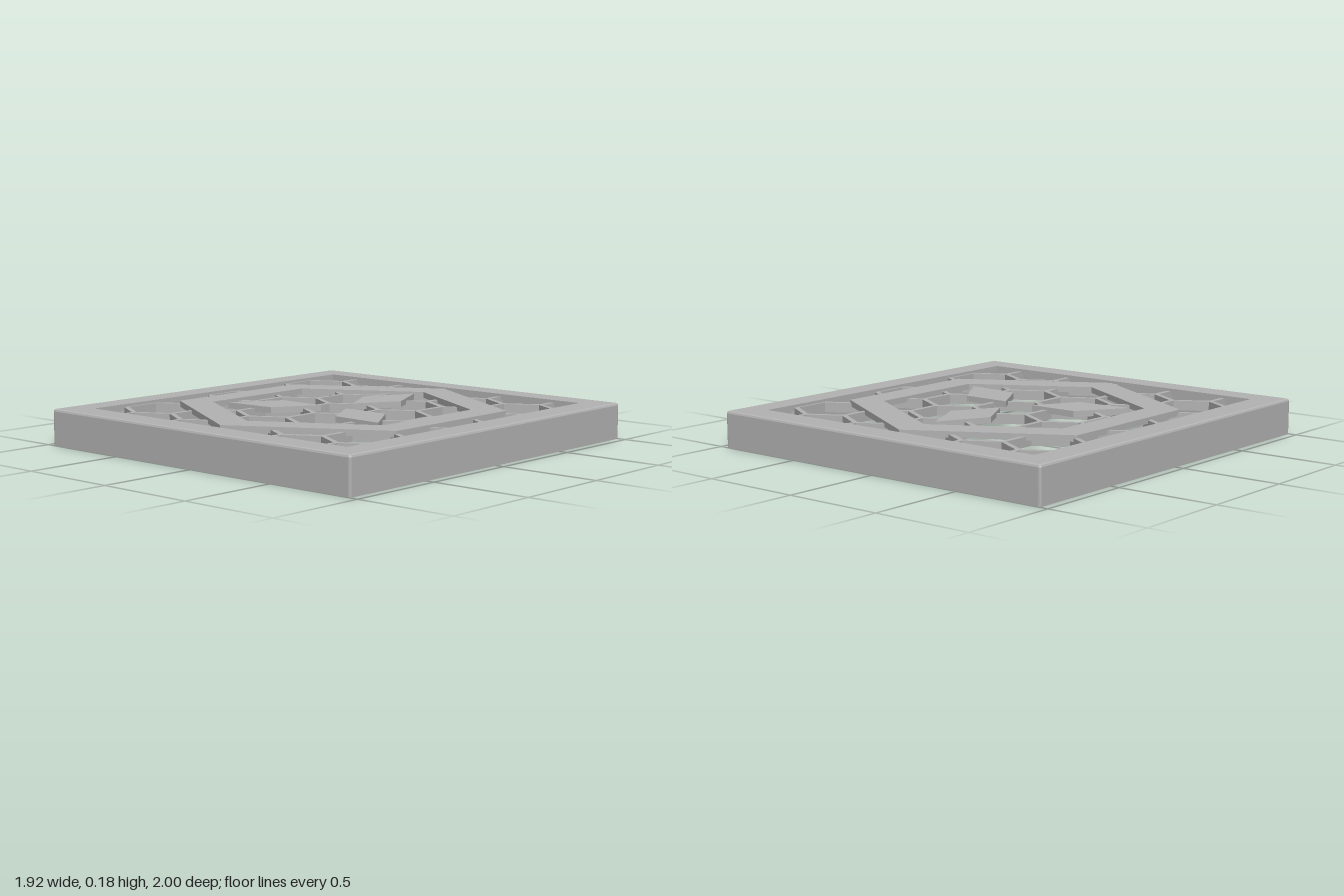
import * as THREE from 'three';

const TOP = 0.18, PLATE = 0.03;          // top face height and plate thickness
const HX = 0.96, HZ = 1.0;               // outer half sizes
const OX = 0.832, OZ = 0.868;            // limits of the lattice, just under the frame
const PITCH = 0.3275, SIDE = PITCH / Math.sqrt(3), RIB = 0.025;
const RIB_TOP = 0.166, RIB_BOTTOM = 0.118;
const CZ = -0.005;

// Sweeps a closed (inset, y) section around a rounded rectangle.
function sweepFrame(section, radius) {
  const loops = section.map(([inset, y]) => {
    const r = Math.max(0, radius - inset), pts = [];
    for (let c = 0; c < 4; c++) {
      const sx = c === 0 || c === 3 ? 1 : -1, sz = c < 2 ? -1 : 1;
      for (let k = 0; k <= 3; k++) {
        const a = (c + k / 3) * Math.PI / 2;
        pts.push([sx * (HX - inset - r) + r * Math.cos(a), y, sz * (HZ - inset - r) - r * Math.sin(a)]);
      }
    }
    return pts;
  });
  const pos = [];
  loops.forEach((lo, j) => {
    const hi = loops[(j + 1) % loops.length];
    lo.forEach((a, i) => {
      const n = (i + 1) % lo.length;
      pos.push(...a, ...lo[n], ...hi[n], ...a, ...hi[n], ...hi[i]);
    });
  });
  const g = new THREE.BufferGeometry();
  g.setAttribute('position', new THREE.Float32BufferAttribute(pos, 3));
  g.computeVertexNormals();
  return g;
}

// Flat plate from an outline in (x, -z), flush with the top face.
function plate(outline, hole) {
  const toV = (p) => p.map(([x, y]) => new THREE.Vector2(x, y));
  const shape = new THREE.Shape(toV(outline));
  if (hole) shape.holes.push(new THREE.Path(toV(hole)));
  const g = new THREE.ExtrudeGeometry(shape, { depth: PLATE, bevelEnabled: false });
  return g.rotateX(-Math.PI / 2).translate(0, TOP - PLATE, CZ);
}

const hexagon = (r) => Array.from({ length: 6 }, (_, i) => {
  const a = (i + 0.5) * Math.PI / 3;
  return [r * Math.cos(a), r * Math.sin(a)];
});

// Clips a segment to the lattice rectangle; null when outside.
function clip(x0, z0, x1, z1) {
  let t0 = 0, t1 = 1;
  for (const [p, d, lim] of [[x0, x1 - x0, OX], [z0, z1 - z0, OZ]]) {
    if (Math.abs(d) < 1e-6) {
      if (Math.abs(p) > lim) return null;
    } else {
      const a = (-lim - p) / d, b = (lim - p) / d;
      t0 = Math.max(t0, Math.min(a, b));
      t1 = Math.min(t1, Math.max(a, b));
    }
  }
  if (t1 - t0 < 0.02) return null;
  const at = (t) => [x0 + (x1 - x0) * t, z0 + (z1 - z0) * t];
  return [...at(t0), ...at(t1)];
}

export function createModel() {
  const model = new THREE.Group();
  model.name = 'honeycombCover';
  const grey = new THREE.MeshStandardMaterial({ color: 0xb3b3b3 });
  grey.name = 'grey';
  const add = (geo, name, parent = model) => {
    const m = new THREE.Mesh(geo, grey);
    m.name = name;
    parent.add(m);
    return m;
  };

  // Hollow frame: thin skirt, rounded upper edge and top border
  add(sweepFrame([
    [0, 0], [0, TOP - 0.012], [0.0035, TOP - 0.0035], [0.012, TOP],
    [0.141, TOP], [0.141, TOP - PLATE], [0.02, TOP - PLATE], [0.02, 0],
  ], 0.012), 'frame');

  // Hexagonal band
  add(plate(hexagon(0.814), hexagon(0.643)), 'hexagonBand');

  // Three diamonds around the centre
  for (let i = 0; i < 3; i++) {
    const g = plate([[0, 0.095], [0.125, 0.315], [0, 0.567], [-0.125, 0.315]]);
    add(g.translate(0, 0, -CZ).rotateY(i * Math.PI * 2 / 3).translate(0, 0, CZ), 'diamond');
  }

  // Honeycomb ribs, set slightly below the top face
  const lattice = new THREE.Group();
  lattice.name = 'honeycomb';
  model.add(lattice);
  const rib = (...ends) => {
    const s = clip(...ends);
    if (!s) return;
    const [x0, z0, x1, z1] = s;
    const len = Math.hypot(x1 - x0, z1 - z0) + RIB * 0.577;
    const g = new THREE.BoxGeometry(len, RIB_TOP - RIB_BOTTOM, RIB);
    g.rotateY(-Math.atan2(z1 - z0, x1 - x0));
    g.translate((x0 + x1) / 2, (RIB_TOP + RIB_BOTTOM) / 2, (z0 + z1) / 2);
    add(g, 'rib', lattice);
  };
  for (let row = -4; row <= 3; row++) {
    const z = -0.0085 + row * SIDE * 1.5;
    for (let col = -4; col <= 4; col++) {
      const x = (col + (row % 2 === 0 ? 0.5 : 0)) * PITCH;
      const end = z + SIDE / 2;
      rib(x, z - SIDE / 2, x, end);
      for (const s of [-1, 1]) rib(x, end, x + s * PITCH / 2, end + SIDE / 2);
    }
  }

  // Small snap bumps inside the front and back walls
  for (const x of [-0.62, 0.62]) {
    for (const s of [-1, 1]) {
      add(new THREE.SphereGeometry(0.018, 16, 10), 'snapBump').position.set(x, 0.06, s * (HZ - 0.02));
    }
  }
  return model;
}
